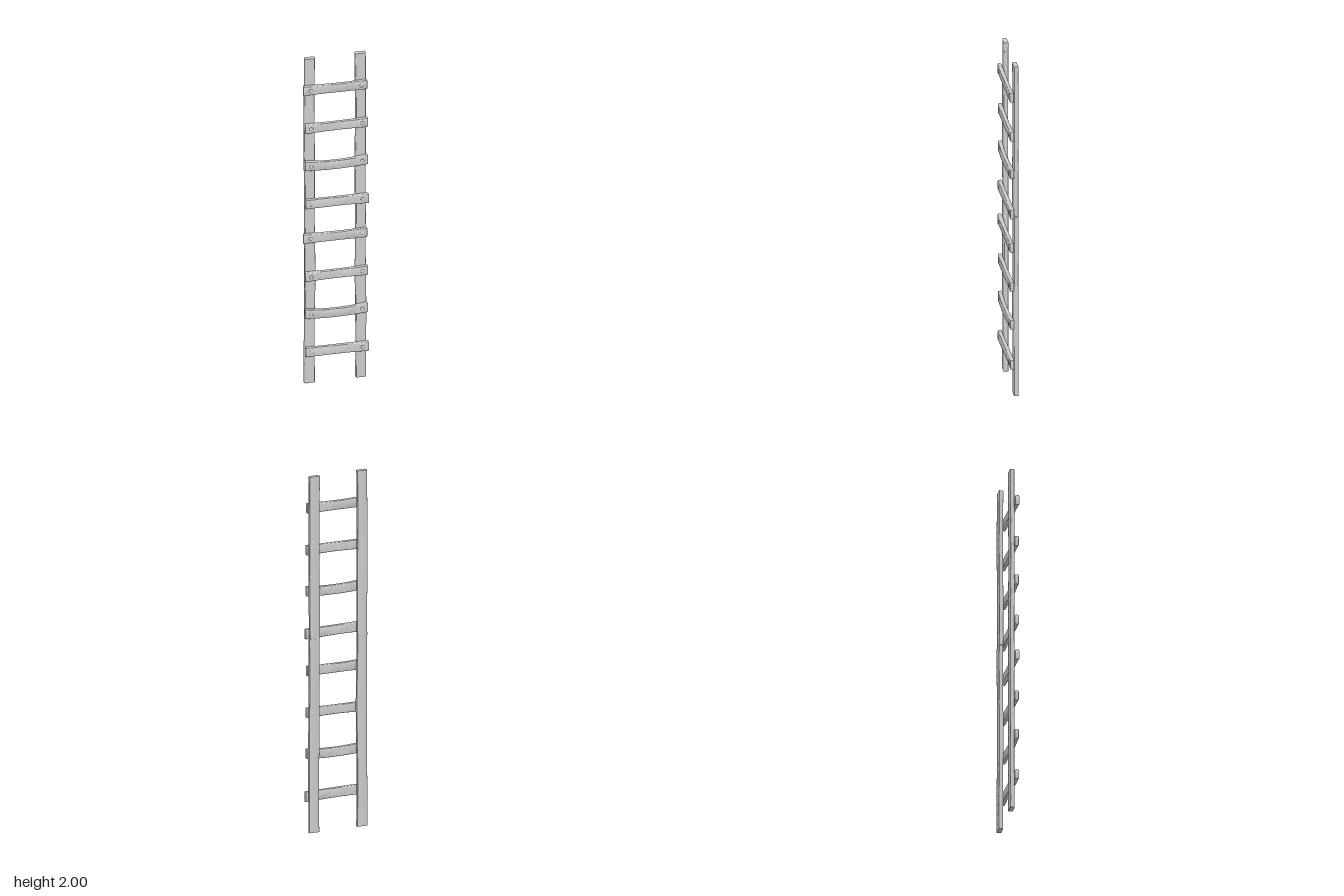
import * as THREE from 'three';
import { toCreasedNormals } from 'three/addons/utils/BufferGeometryUtils.js';

const material = new THREE.MeshStandardMaterial({ color: 0xcccccc });

// Rounded rectangle centred on the origin; radii for the lower and upper corners
function roundedRect(w, h, low, high) {
  const s = new THREE.Shape();
  const x = w / 2, y = h / 2;
  s.moveTo(-x + low, -y);
  s.lineTo(x - low, -y);
  s.quadraticCurveTo(x, -y, x, -y + low);
  s.lineTo(x, y - high);
  s.quadraticCurveTo(x, y, x - high, y);
  s.lineTo(-x + high, y);
  s.quadraticCurveTo(-x, y, -x, y - high);
  s.lineTo(-x, -y + low);
  s.quadraticCurveTo(-x, -y, -x + low, -y);
  return s;
}

// Extrudes a section along +z, centred, with an optional softened end
function bar(shape, length, steps, bevel = 0) {
  const geo = new THREE.ExtrudeGeometry(shape, {
    depth: length - 2 * bevel, steps, curveSegments: 4,
    bevelEnabled: bevel > 0, bevelThickness: bevel, bevelSize: bevel,
    bevelOffset: -bevel, bevelSegments: 2,
  });
  return geo.translate(0, 0, bevel - length / 2);
}

// Moves every vertex by a rule, then renews the normals
function warp(geo, rule) {
  const p = geo.attributes.position;
  const v = new THREE.Vector3();
  for (let i = 0; i < p.count; i++) {
    rule(v.fromBufferAttribute(p, i));
    p.setXYZ(i, v.x, v.y, v.z);
  }
  return toCreasedNormals(geo, 0.7);
}

function addMesh(parent, name, geo) {
  const mesh = new THREE.Mesh(geo, material);
  mesh.name = name;
  parent.add(mesh);
  return mesh;
}

// One rail section from y0 to y1: flat back, rounded front, hewn edges
function addRail(parent, name, x, y0, y1, phase) {
  const geo = bar(roundedRect(0.06, 0.025, 0.012, 0.004), y1 - y0, 20);
  geo.rotateX(-Math.PI / 2);
  const mesh = addMesh(parent, name, warp(geo, (v) => {
    v.x *= 0.97 + 0.03 * Math.sin(v.y * 9 + phase);
    v.x += 0.0015 * Math.sin(v.y * 6 + phase * 2);
    v.z += 0.0008 * Math.sin(v.y * 7 + phase);
  }));
  mesh.position.set(x, (y0 + y1) / 2, -0.0155);
}

// Four plank patterns: ends, sag of the middle, tilt, and taper of the middle
const planks = [
  { left: -0.183, right: 0.168, sag: 0.001, tilt: 0, waist: 0.1 },
  { left: -0.172, right: 0.172, sag: -0.001, tilt: 0.004, waist: 0.12 },
  { left: -0.172, right: 0.172, sag: 0.006, tilt: 0, waist: 0.08 },
  { left: -0.17, right: 0.178, sag: -0.001, tilt: -0.006, waist: 0.05 },
];

function addRung(parent, plank, y, index) {
  const rung = new THREE.Group();
  rung.name = 'rung' + (index + 1);
  rung.position.set(0, y, 0.009);
  const { left, right, sag, tilt, waist } = plank;
  const half = (right - left) / 2;
  const geo = bar(roundedRect(0.022, 0.057, 0.007, 0.007), right - left, 16, 0.003);
  geo.rotateY(Math.PI / 2);
  const bend = (t) => sag * (t * t * 1.6 - 0.9) + tilt * t * 0.3;
  addMesh(rung, 'plank', warp(geo, (v) => {
    const t = v.x / half;
    v.y = v.y * (1 - waist * Math.cos(t * Math.PI / 2)) + bend(t);
    v.z += 0.001 * Math.sin(t * 3 + index % 4);
    v.x += (left + right) / 2 + tilt * v.y * 6 * t;
  }));
  // Domed nail heads over the rails
  for (const side of [-1, 1]) {
    const dome = new THREE.SphereGeometry(0.011, 14, 6, 0, Math.PI * 2, 0, Math.PI / 2);
    dome.rotateX(Math.PI / 2).scale(1, 1, 0.4);
    const x = side * 0.14 + (left + right) * 0.25;
    addMesh(rung, 'nail', dome).position.set(x, bend(x / half), 0.0105);
  }
  parent.add(rung);
}

export function createModel() {
  const model = new THREE.Group();
  model.name = 'ladder';

  // Two rails, each in a lower and an upper section
  const join = 1.087;
  addRail(model, 'rightRailLower', -0.142, 0, join, 0.4);
  addRail(model, 'rightRailUpper', -0.143, join, 2, 2.2);
  addRail(model, 'leftRailLower', 0.139, 0, join, 1.7);
  addRail(model, 'leftRailUpper', 0.137, join, 2, 3.6);

  // Eight rungs: the four patterns repeat down the ladder
  const heights = [1.815, 1.58, 1.347, 1.113];
  for (let i = 0; i < 8; i++) {
    addRung(model, planks[i % 4], heights[i % 4] - (i < 4 ? 0 : 0.914), i);
  }
  return model;
}
